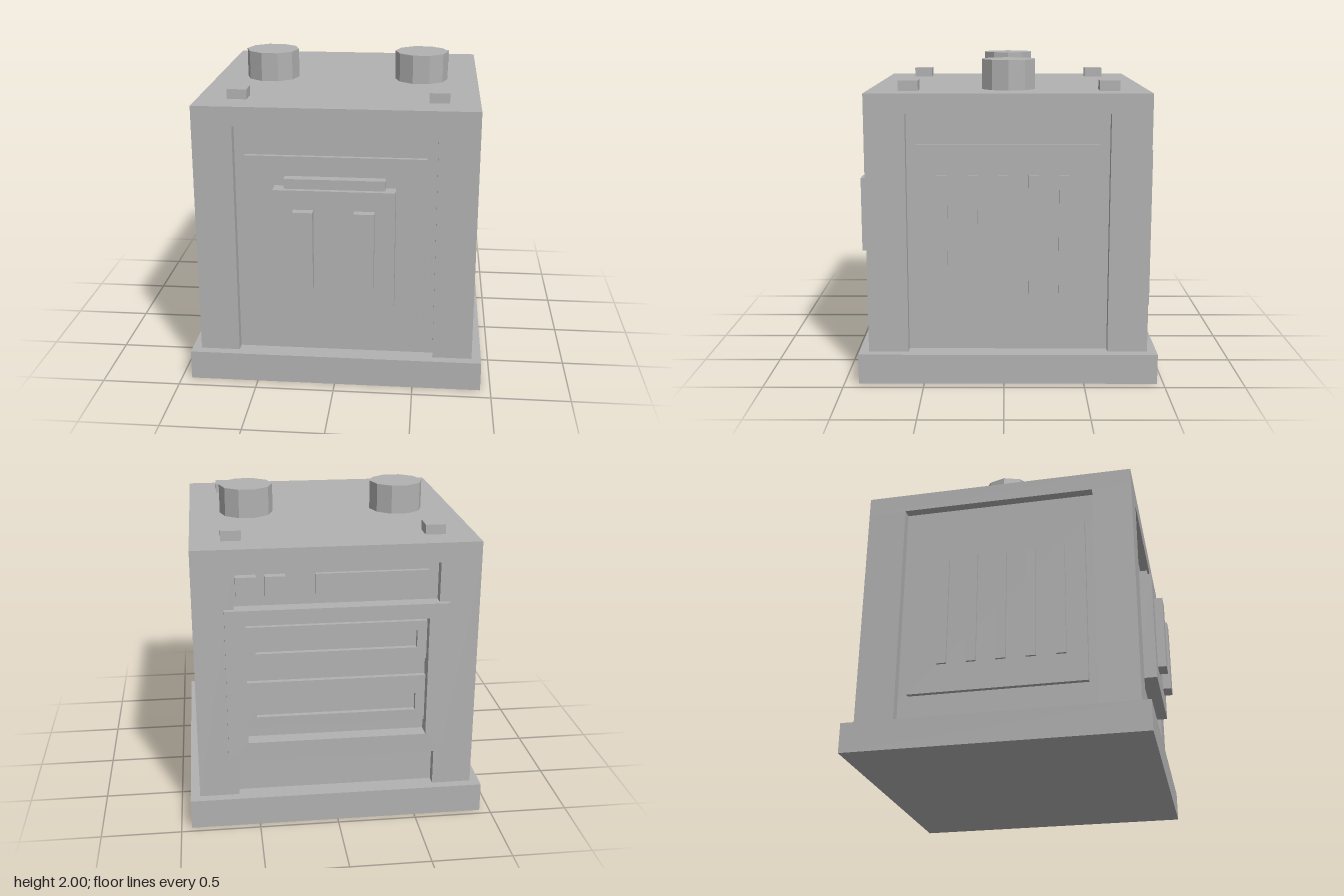
import * as THREE from 'three';

export function createModel() {
  const model = new THREE.Group();
  const grey = new THREE.MeshStandardMaterial({ color: 0xb2b2b2 });
  grey.name = 'plain grey';

  // Box given by its limits along each axis
  const box = (name, x0, x1, y0, y1, z0, z1, parent = model) => {
    const mesh = new THREE.Mesh(new THREE.BoxGeometry(x1 - x0, y1 - y0, z1 - z0), grey);
    mesh.position.set((x0 + x1) / 2, (y0 + y1) / 2, (z0 + z1) / 2);
    mesh.name = name;
    parent.add(mesh);
    return mesh;
  };

  // Rectangular plate with a rectangular opening, facing the back
  const framePlate = (name, w, y0, y1, holeW, h0, h1, z0, z1) => {
    const rect = (path, hw, a, b) => path.moveTo(-hw, a).lineTo(hw, a).lineTo(hw, b).lineTo(-hw, b).closePath();
    const shape = rect(new THREE.Shape(), w, y0, y1);
    shape.holes.push(rect(new THREE.Path(), holeW, h0, h1));
    const mesh = new THREE.Mesh(
      new THREE.ExtrudeGeometry(shape, { depth: z1 - z0, bevelEnabled: false }), grey);
    mesh.position.z = z0;
    mesh.name = name;
    model.add(mesh);
  };

  // Plinth, inner core, corner posts and top slab leave a recess on each side
  box('base', -0.935, 0.935, 0, 0.19, -0.96, 0.91);
  box('core', -0.8125, 0.8125, 0.19, 1.69, -0.8375, 0.7875);
  box('topSlab', -0.875, 0.875, 1.69, 1.8125, -0.9, 0.85);
  for (const s of [-1, 1]) {
    const [x0, x1] = s > 0 ? [0.625, 0.875] : [-0.875, -0.625];
    box('frontPost', x0, x1, 0.19, 1.69, 0.6, 0.85);
    box('backPost', x0, x1, 0.19, 1.69, -0.9, -0.65);
  }

  // Front door with raised panel, lip and two handles
  box('frontPlate', -0.56, 0.56, 0.38, 1.5, 0.78, 0.815);
  box('frontPanel', -0.375, 0.375, 0.565, 1.3125, 0.8, 0.91);
  box('panelLip', -0.31, 0.31, 1.3125, 1.375, 0.8, 0.878);
  for (const x of [-0.1875, 0.1875]) box('handle', x - 0.0625, x + 0.0625, 0.69, 1.19, 0.9, 0.965);

  // Side plates with five upright slats each
  for (const s of [-1, 1]) {
    const side = new THREE.Group();
    side.name = s > 0 ? 'leftSide' : 'rightSide';
    const span = (a, b) => (s > 0 ? [a, b] : [-b, -a]);
    box('sidePlate', ...span(0.8, 0.844), 0.38, 1.5, -0.585, 0.54, side);
    for (let i = 0; i < 5; i++) {
      const z = 0.38 - i * 0.1875;
      box('sideSlat', ...span(0.83, 0.86), 0.565, 1.3125, z - 0.031, z + 0.031, side);
    }
    model.add(side);
  }

  // Back grille: outer frame with two slotted louvers inside
  framePlate('backFrame', 0.685, 0.44, 1.44, 0.56, 0.565, 1.345, -0.932, -0.8375);
  framePlate('upperLouver', 0.56, 1.06, 1.31, 0.5, 1.135, 1.25, -0.87, -0.8375);
  framePlate('lowerLouver', 0.56, 0.64, 0.945, 0.5, 0.71, 0.825, -0.87, -0.8375);

  // Small buttons and label plate above the grille
  for (const x of [0.55, 0.375]) box('button', x - 0.0625, x + 0.0625, 1.51, 1.635, -0.89, -0.83);
  box('backStrip', -0.56, 0.13, 1.51, 1.635, -0.865, -0.83);

  // Caps and corner studs on the top
  for (const x of [-0.5, 0.5]) {
    const cap = new THREE.Mesh(new THREE.CylinderGeometry(0.175, 0.175, 0.2, 10).toNonIndexed(), grey);
    cap.geometry.rotateY(Math.PI / 10);
    cap.geometry.computeVertexNormals();
    cap.position.set(x, 1.9, -0.0275);
    cap.name = 'topCap';
    model.add(cap);
    for (const z of [0.595, -0.655]) {
      const cx = x * 1.25;
      box('cornerStud', cx - 0.0625, cx + 0.0625, 1.8, 1.875, z - 0.0625, z + 0.0625);
    }
  }
  return model;
}
